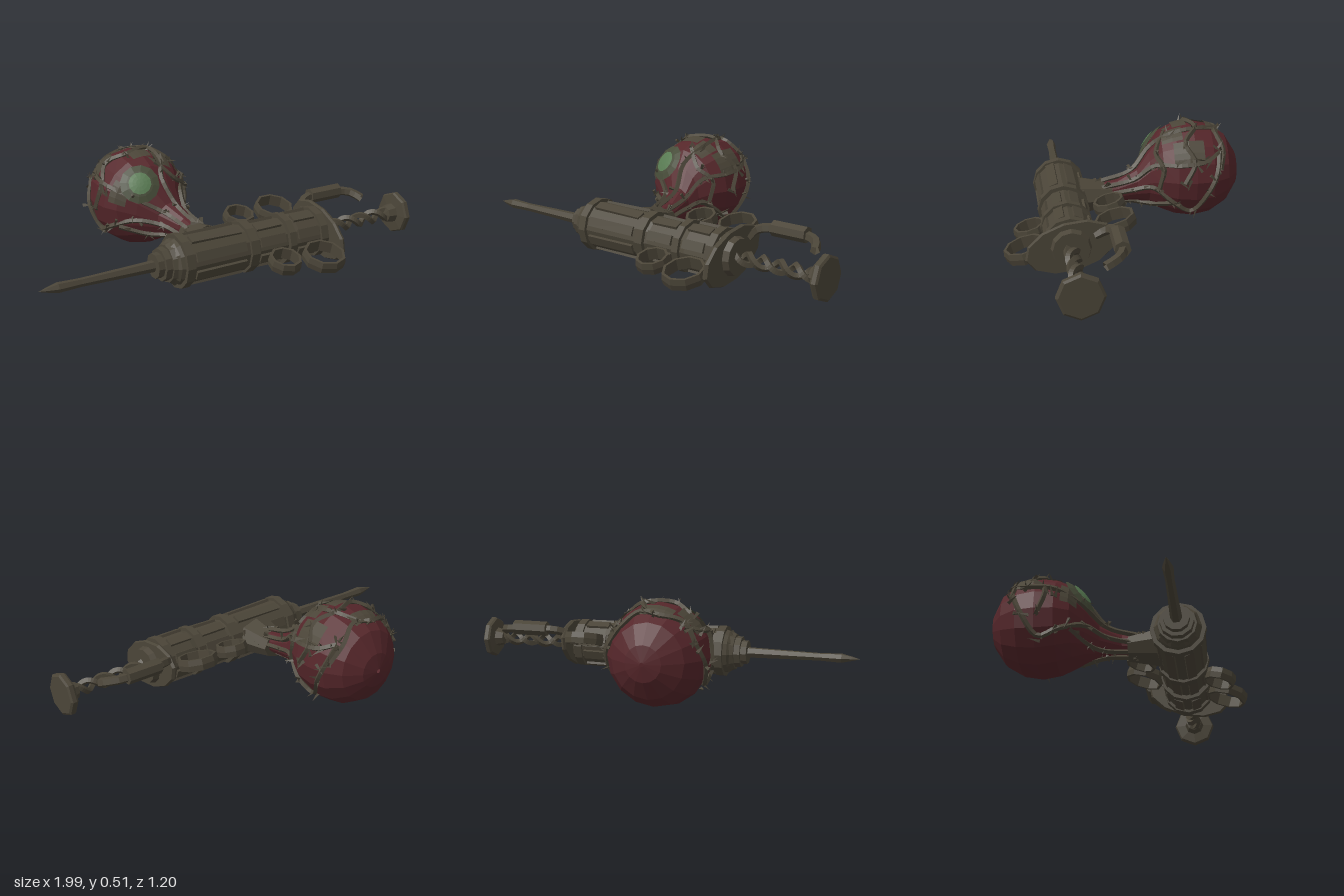
import * as THREE from 'three';

const mat = (name, color) => new THREE.MeshStandardMaterial({ name, color, flatShading: true, side: THREE.DoubleSide });

export function createModel() {
  const metal = mat('dull bronze metal', 0x4b4538);
  const red = mat('dark red flesh', 0x55262a);
  const green = mat('pale green eye', 0x587a52);
  const rim = mat('dark green eye rim', 0x464b38);
  const model = new THREE.Group();
  let seed = 7;
  const rnd = () => (seed = (seed * 16807) % 2147483647) / 2147483647;
  const V = (x, y, z) => new THREE.Vector3(x, y, z);

  const add = (parent, name, geo, material, x = 0, y = 0, z = 0) => {
    const m = new THREE.Mesh(geo, material);
    m.name = name;
    m.position.set(x, y, z);
    parent.add(m);
    return m;
  };
  // turned part along x; profile of [radius, x]
  const turned = (parent, name, pts, sides = 12) => {
    const g = new THREE.LatheGeometry(pts.map(p => new THREE.Vector2(p[0], p[1])), sides);
    return add(parent, name, g.rotateZ(-Math.PI / 2), metal);
  };
  const tube = (parent, name, pts, r, seg, sides, material = metal) =>
    add(parent, name, new THREE.TubeGeometry(new THREE.CatmullRomCurve3(pts), seg, r, sides), material);

  // ---- syringe, axis along x ----
  const syringe = new THREE.Group();
  syringe.name = 'syringe';
  syringe.position.set(0, 0.15, 0.3);
  model.add(syringe);

  turned(syringe, 'needle', [[0, -1], [0.012, -0.96], [0.024, -0.91], [0.02, -0.8], [0.024, -0.6], [0.028, -0.42]], 6);
  turned(syringe, 'nozzle', [[0, -0.44], [0.06, -0.44], [0.06, -0.41], [0.078, -0.41], [0.08, -0.38], [0.11, -0.35]], 10);
  turned(syringe, 'barrel', [[0, -0.38], [0.09, -0.38], [0.115, -0.32], [0.112, 0.03], [0.104, 0.08],
    [0.104, 0.24], [0.112, 0.3], [0.11, 0.44], [0.085, 0.53], [0, 0.53]]);
  for (const [x, w, r] of [[-0.31, 0.04, 0.13], [0.04, 0.045, 0.126], [0.255, 0.035, 0.125], [0.44, 0.04, 0.124]])
    turned(syringe, 'barrelBand', [[0.1, x - w / 2], [r, x - w / 2], [r, x + w / 2], [0.1, x + w / 2]]);
  // raised slats around the barrel
  for (let i = 0; i < 8; i++) {
    const a = (i + 0.5) / 8 * Math.PI * 2;
    for (const [x, l, r] of [[-0.14, 0.27, 0.114], [0.15, 0.14, 0.105], [0.35, 0.12, 0.112]]) {
      const s = add(syringe, 'barrelSlat', new THREE.BoxGeometry(l, 0.014, 0.045), metal, x, Math.cos(a) * r, Math.sin(a) * r);
      s.rotation.x = a;
      s.rotation.z = (rnd() - 0.5) * 0.05;
    }
  }
  // twisted plunger rod from two strands
  for (const side of [0, Math.PI]) {
    const pts = [];
    for (let i = 0; i <= 24; i++) {
      const a = side + i * 0.72;
      pts.push(V(0.5 + i * 0.0192, Math.cos(a) * 0.024, Math.sin(a) * 0.024));
    }
    tube(syringe, 'plungerStrand', pts, 0.016, 56, 4);
  }
  turned(syringe, 'plungerDisc', [[0, 0.9], [0.04, 0.91], [0.05, 0.95], [0.1, 0.955], [0.106, 0.965], [0.106, 0.985], [0.095, 0.992], [0, 0.992]], 8);

  // ---- finger rings, flange and hook, tilted together ----
  const grip = new THREE.Group();
  grip.name = 'grip';
  grip.rotation.x = 0.27;
  syringe.add(grip);
  for (const [x, z, r] of [[0.155, -0.22, 0.08], [0.365, -0.225, 0.1], [0.17, 0.175, 0.082], [0.375, 0.205, 0.106]]) {
    const h = 0.028, i = r - 0.018;
    const pts = [[r - 0.005, -h], [r, 0], [r - 0.005, h], [i, h], [i, -h], [r - 0.005, -h]].map(p => new THREE.Vector2(...p));
    add(grip, 'fingerRing', new THREE.LatheGeometry(pts, 9), metal, x, 0, z);
  }
  const flange = turned(grip, 'flange', [[0, 0.475], [0.115, 0.475], [0.12, 0.487], [0.115, 0.5], [0, 0.5]], 12);
  flange.scale.z = 1.8;
  const hook = [[0.49, 0.02, -0.12], [0.5, 0.035, -0.18], [0.55, 0.04, -0.21], [0.66, 0.04, -0.22],
    [0.77, 0.035, -0.215], [0.82, 0.035, -0.185], [0.845, 0.03, -0.13]].map(p => V(...p));
  tube(grip, 'hook', hook, 0.023, 14, 5);
  add(grip, 'hookSleeve', new THREE.CylinderGeometry(0.038, 0.038, 0.18, 7).rotateZ(Math.PI / 2), metal, 0.665, 0.04, -0.22);

  // ---- bulb: cross-sections [z, centre x, centre y, radius x, radius y] ----
  const sections = [
    [-0.6, -0.17, 0.25, 0.01, 0.01], [-0.585, -0.17, 0.25, 0.085, 0.085], [-0.53, -0.175, 0.252, 0.17, 0.175],
    [-0.45, -0.178, 0.252, 0.222, 0.225], [-0.36, -0.18, 0.252, 0.235, 0.243], [-0.27, -0.18, 0.252, 0.226, 0.228],
    [-0.2, -0.18, 0.25, 0.192, 0.198], [-0.14, -0.165, 0.23, 0.13, 0.145], [-0.08, -0.13, 0.2, 0.078, 0.085],
    [0.02, -0.1, 0.18, 0.05, 0.055], [0.2, -0.1, 0.16, 0.05, 0.05]];
  const surface = (z, deg, off = 0) => {
    let k = 0;
    while (k < sections.length - 2 && sections[k + 1][0] < z) k++;
    const a = sections[k], b = sections[k + 1], t = (z - a[0]) / (b[0] - a[0]);
    const [, cx, cy, rx, ry] = a.map((v, i) => v + (b[i] - v) * t);
    const r = deg * Math.PI / 180;
    return V(cx + Math.cos(r) * (rx + off), cy + Math.sin(r) * (ry + off), z);
  };
  // strip of surface between depths zs and angles a0..a1
  const skin = (zs, a0, a1, n, off = 0) => {
    const pos = [], idx = [];
    zs.forEach((z, i) => {
      for (let j = 0; j <= n; j++) {
        pos.push(...surface(z, a0 + (a1 - a0) * j / n, off).toArray());
        if (i && j) {
          const d = i * (n + 1) + j, c = d - 1, b = d - n - 1, a = b - 1;
          idx.push(a, b, d, a, d, c);
        }
      }
    });
    const g = new THREE.BufferGeometry();
    g.setAttribute('position', new THREE.Float32BufferAttribute(pos, 3));
    g.setIndex(idx);
    g.computeVertexNormals();
    return g;
  };
  const bulb = new THREE.Group();
  bulb.name = 'bulb';
  model.add(bulb);
  add(bulb, 'bulbFlesh', skin(sections.map(s => s[0]), 0, 360, 16), red);

  // eye made of two shallow caps facing up and forward
  const look = V(-0.08, 0.13, 0.185).normalize();
  for (const [name, r, half, m] of [['eyeRim', 0.252, 0.4, rim], ['eyePupil', 0.257, 0.22, green]]) {
    const cap = add(bulb, name, new THREE.SphereGeometry(r, 12, 3, 0, Math.PI * 2, 0, half), m, -0.18, 0.25, -0.345);
    cap.quaternion.setFromUnitVectors(V(0, 1, 0), look);
  }

  // metal patches lying on the flesh
  for (const [z0, z1, a0, a1] of [[-0.49, -0.43, 75, 115], [-0.45, -0.37, 118, 150], [-0.4, -0.25, 22, 52],
    [-0.3, -0.2, 55, 78], [-0.24, -0.17, 140, 170], [-0.33, -0.26, 80, 105]])
    add(bulb, 'bulbPatch', skin([z0, (z0 + z1) / 2, z1], a0, a1, 4, 0.009), metal);

  // sinews: paths of [z, angle] over the bulb
  const sinews = [
    [[0.1, 90], [-0.05, 85], [-0.15, 80], [-0.25, 70], [-0.37, 72], [-0.48, 85]],
    [[0.1, 40], [-0.06, 35], [-0.16, 30], [-0.28, 22], [-0.4, 25], [-0.48, 40]],
    [[0.1, 0], [-0.05, 0], [-0.15, -8], [-0.25, -30], [-0.34, -42], [-0.42, -12], [-0.46, 10], [-0.48, 40]],
    [[0.1, 140], [-0.05, 140], [-0.15, 150], [-0.27, 152], [-0.4, 148], [-0.48, 135]],
    [[0.1, 190], [-0.05, 185], [-0.14, 190], [-0.25, 205], [-0.34, 212], [-0.42, 185], [-0.47, 155]],
    [[-0.48, 15], [-0.5, 45], [-0.47, 75], [-0.49, 100], [-0.46, 130], [-0.47, 160]],
    [[-0.3, 0], [-0.35, 25], [-0.31, 50], [-0.37, 75], [-0.33, 105], [-0.38, 130], [-0.31, 155], [-0.34, 185]],
    [[-0.18, -10], [-0.2, 20], [-0.17, 50], [-0.22, 80]],
    [[0.1, 270], [-0.04, 270], [-0.1, 285], [-0.16, 310], [-0.25, 330]],
    [[0.1, 230], [-0.06, 235], [-0.12, 225], [-0.2, 205]]];
  for (const path of sinews) {
    const pts = path.map(([z, a]) => surface(z, a, 0.006));
    tube(bulb, 'sinew', pts, 0.013, path.length * 4, 4);
    // ragged barbs along each sinew
    for (const [z, a] of path) for (let k = 0; k < 2; k++) {
      const p = surface(z + (rnd() - 0.5) * 0.04, a + (rnd() - 0.5) * 12, 0.012);
      const barb = add(bulb, 'barb', new THREE.ConeGeometry(0.01, 0.06, 3), metal, p.x, p.y, p.z);
      const out = p.clone().sub(V(-0.17, 0.24, p.z)).normalize().multiplyScalar(0.35);
      barb.quaternion.setFromUnitVectors(V(0, 1, 0), out.add(V(rnd() - 0.5, rnd() - 0.5, rnd() - 0.5)).normalize());
    }
  }
  // socket joining the neck to the barrel
  const socket = add(model, 'neckSocket', new THREE.CylinderGeometry(0.115, 0.075, 0.16, 8).rotateX(Math.PI / 2), metal, -0.1, 0.16, 0.13);
  socket.scale.y = 0.8;
  return model;
}
